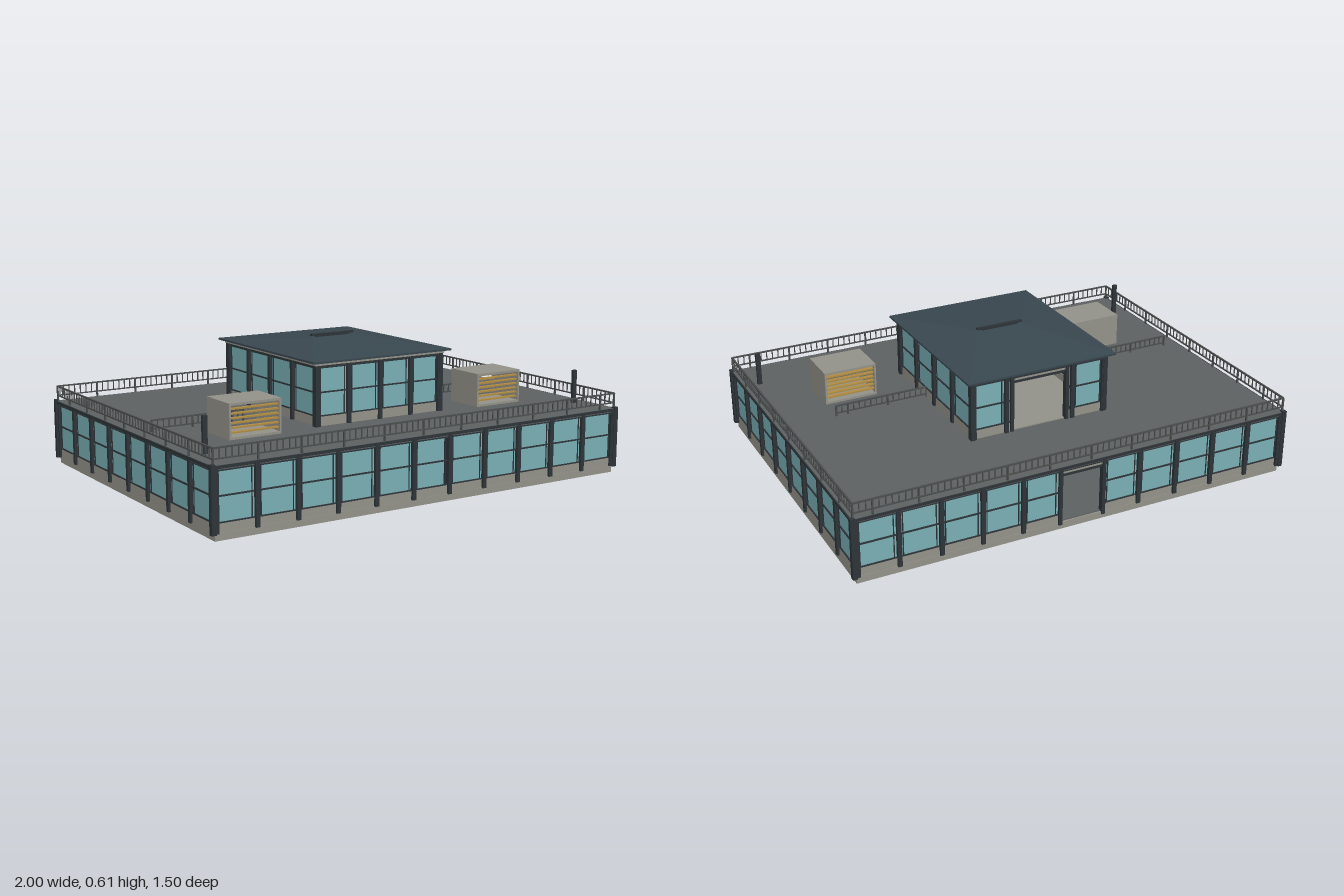
import * as THREE from 'three';
import { mergeGeometries } from 'three/addons/utils/BufferGeometryUtils.js';

const mat = (name, color, side = THREE.FrontSide) => {
  const m = new THREE.MeshStandardMaterial({ color, side });
  m.name = name;
  return m;
};

// Box geometry given by its minimum and maximum corners
function span(x0, x1, y0, y1, z0, z1) {
  return new THREE.BoxGeometry(x1 - x0, y1 - y0, z1 - z0)
    .translate((x0 + x1) / 2, (y0 + y1) / 2, (z0 + z1) / 2);
}

function add(parent, name, material, boxes) {
  const mesh = new THREE.Mesh(boxes.length > 1 ? mergeGeometries(boxes) : boxes[0], material);
  mesh.name = name;
  parent.add(mesh);
  return mesh;
}

export function createModel() {
  const concrete = mat('concrete', 0x94938a);
  const glass = mat('glass', 0x7ab0b6);
  const deckGrey = mat('deck grey', 0x5e6161);
  const frame = mat('dark frame', 0x2d3439);
  const railGrey = mat('rail grey', 0x4b4e4e);
  const roofSlate = mat('roof slate', 0x394750);
  const slatTan = mat('slat tan', 0xb08c42);

  const model = new THREE.Group();
  model.name = 'pavilion';

  // One glazed wall along x, facing +z; o.gap lists the bays left open
  function glazedWall(name, o) {
    const g = new THREE.Group();
    g.name = name;
    const { width: w, bays, base, sill, mid, head, top, open = null, doors = null } = o;
    const h = w / 2, bay = w / bays;
    const posts = [], panes = [], bars = [], plinth = [];
    for (let i = 0; i <= bays; i++) {
      const x = -h + i * bay;
      if (open && x > open[0] + 0.01 && x < open[1] - 0.01) continue;
      posts.push(span(x - 0.009, x + 0.009, base + o.lift, top, -0.016, 0.01));
    }
    const runs = open ? [[-h, open[0]], [open[1], h]] : [[-h, h]];
    for (const [a, b] of runs) {
      plinth.push(span(a, b, base, sill, -0.022, 0));
      bars.push(span(a, b, sill, sill + 0.005, -0.018, 0.001));
      bars.push(span(a, b, mid - 0.003, mid + 0.003, -0.014, 0.001));
    }
    bars.push(span(-h, h, head, top, -0.018, 0.004));
    for (let i = 0; i < bays; i++) {
      let a = -h + i * bay, b = a + bay;
      if (open) {
        if (a < open[0]) b = Math.min(b, open[0]);
        else a = Math.max(a, open[1]);
        if (b - a < 0.01) continue;
      }
      const inset = doors === i ? 0.024 : 0;
      panes.push(span(a + inset, b - inset, sill, head, -0.011, -0.004));
      for (const x of [a + 0.019, b - 0.019])
        bars.push(span(x - 0.002, x + 0.002, sill, head, -0.013, -0.001));
    }
    if (open) {
      for (const x of open) posts.push(span(x - 0.008, x + 0.008, base, top, -0.016, 0.008));
      bars.push(span(open[0], open[1], head - 0.022, head - 0.010, -0.016, 0.002));
      add(g, 'doorLintel', concrete, [span(open[0], open[1], head - 0.010, head, -0.014, 0.002)]);
    }
    add(g, 'posts', frame, posts);
    add(g, 'frameBars', frame, bars);
    add(g, 'panes', glass, panes);
    add(g, 'plinth', concrete, plinth);
    return g;
  }

  // Four walls around a rectangle; the back one has a doorway
  function storey(name, hx, hz, nx, nz, levels, open, doors) {
    const g = new THREE.Group();
    g.name = name;
    const long = { width: 2 * hx, bays: nx, ...levels }, short = { width: 2 * hz, bays: nz, ...levels };
    const walls = [
      ['frontWall', { ...long, doors }, 0, hz, 0], ['backWall', { ...long, open }, 0, -hz, Math.PI],
      ['leftWall', short, hx, 0, Math.PI / 2], ['rightWall', short, -hx, 0, -Math.PI / 2],
    ];
    for (const [label, o, x, z, turn] of walls) {
      const wall = glazedWall(label, o);
      wall.position.set(x, 0, z);
      wall.rotation.y = turn;
      g.add(wall);
    }
    model.add(g);
  }

  // Ground slab, interior floor and roof deck
  add(model, 'groundSlab', concrete, [span(-0.982, 0.982, 0, 0.03, -0.737, 0.737)]);
  add(model, 'groundFloor', deckGrey, [span(-0.96, 0.96, 0.03, 0.034, -0.73, 0.71)]);
  add(model, 'roofDeck', deckGrey, [span(-0.99, 0.99, 0.268, 0.285, -0.74, 0.74)]);
  add(model, 'deckEdge', frame, [
    span(-0.995, 0.995, 0.272, 0.284, 0.735, 0.743), span(-0.995, 0.995, 0.272, 0.284, -0.743, -0.735),
    span(0.985, 0.995, 0.272, 0.284, -0.74, 0.74), span(-0.995, -0.985, 0.272, 0.284, -0.74, 0.74),
  ]);

  storey('groundStorey', 0.982, 0.735, 11, 8,
    { base: 0.02, lift: 0.008, sill: 0.065, mid: 0.168, head: 0.262, top: 0.28 }, [-0.1, 0.1], 5);
  storey('upperStorey', 0.312, 0.368, 4, 4,
    { base: 0.285, lift: 0, sill: 0.325, mid: 0.425, head: 0.525, top: 0.545 }, [-0.13, 0.13], null);

  // Heavy corner posts
  const corners = [];
  for (const sx of [-1, 1]) for (const sz of [-1, 1]) {
    const x = sx * 0.99, z = sz * 0.738;
    corners.push(span(x - 0.01, x + 0.01, 0.025, 0.29, z - 0.01, z + 0.01));
    const u = sx * 0.313, v = sz * 0.37;
    corners.push(span(u - 0.009, u + 0.009, 0.285, 0.55, v - 0.009, v + 0.009));
  }
  add(model, 'cornerPosts', frame, corners);

  // Railing along x, starting at the local origin
  function railing(name, length, top, low, x, z, turn = 0) {
    const n = Math.round(length / 0.027), parts = [
      span(0, length, top - 0.006, top, -0.004, 0.004),
      span(0, length, low - 0.002, low + 0.003, -0.003, 0.003),
    ];
    for (let i = 0; i <= n; i++) {
      const p = (i * length) / n, main = i % 7 === 0 || i === n;
      const r = main ? 0.0035 : 0.002;
      parts.push(span(p - r, p + r, main ? 0.285 : low, top - 0.003, -r, r));
    }
    const rail = add(model, name, railGrey, parts);
    rail.position.set(x, 0, z);
    rail.rotation.y = turn;
  }
  railing('frontRailing', 1.97, 0.353, 0.308, -0.985, 0.735);
  railing('backRailing', 1.97, 0.353, 0.308, -0.985, -0.735);
  for (const [side, x] of [['left', 0.985], ['right', -0.985]])
    railing(side + 'Railing', 1.47, 0.353, 0.308, x, 0.735, Math.PI / 2);
  for (const [side, x] of [['left', 0.31], ['right', -0.92]])
    railing(side + 'DeckRail', 0.42, 0.335, 0.298, x, 0.093);

  // Slatted shelters on the deck
  for (const [side, x] of [['left', 0.613], ['right', -0.615]]) {
    const g = new THREE.Group();
    g.name = side + 'Shelter';
    g.position.x = x;
    const w = 0.118;
    add(g, 'shell', concrete, [
      span(-w, w, 0.421, 0.431, 0.215, 0.4), span(-w, w, 0.285, 0.295, 0.215, 0.4),
      span(-w, -w + 0.008, 0.295, 0.421, 0.215, 0.4), span(w - 0.008, w, 0.295, 0.421, 0.215, 0.4),
    ]);
    const slats = [];
    for (let i = 0; i < 6; i++) {
      const y = 0.308 + i * 0.019;
      slats.push(span(-w + 0.008, w - 0.008, y, y + 0.006, 0.375, 0.393));
      if (side === 'left') slats.push(span(-w + 0.008, w - 0.008, y, y + 0.006, 0.222, 0.24));
    }
    add(g, 'slats', slatTan, slats);
    // One-sided back sheet
    if (side === 'right') {
      const sheet = new THREE.PlaneGeometry(2 * w, 0.146).rotateY(Math.PI).translate(0, 0.358, 0.2145);
      add(g, 'backSheet', concrete, [sheet]);
    }
    model.add(g);
  }

  // Slim pillars near the front corners
  for (const [side, x] of [['left', 0.92], ['right', -0.92]])
    add(model, side + 'Pillar', frame, [span(x - 0.01, x + 0.01, 0.285, 0.432, 0.543, 0.556)]);

  // Upper floor, ceiling band and eaves
  add(model, 'upperFloor', concrete, [span(-0.3, 0.3, 0.285, 0.29, -0.365, 0.355)]);
  add(model, 'ceilingBand', concrete, [span(-0.325, 0.325, 0.538, 0.55, -0.382, 0.382)]);
  add(model, 'eaves', roofSlate, [span(-0.345, 0.345, 0.55, 0.558, -0.405, 0.405)]);

  // Hipped roof: a box whose top face shrinks to the ridge
  const hip = new THREE.BoxGeometry(0.69, 0.034, 0.81);
  const p = hip.attributes.position;
  for (let i = 0; i < p.count; i++)
    if (p.getY(i) > 0) p.setXYZ(i, Math.sign(p.getX(i)) * 0.105, p.getY(i), Math.sign(p.getZ(i)) * 0.003);
  hip.translate(0, 0.575, 0);
  hip.computeVertexNormals();
  add(model, 'hippedRoof', roofSlate, [hip]);
  add(model, 'ridgeCap', frame, [span(-0.085, 0.085, 0.588, 0.598, -0.005, 0.005),
    span(-0.108, 0.108, 0.598, 0.606, -0.007, 0.007)]);

  return model;
}
